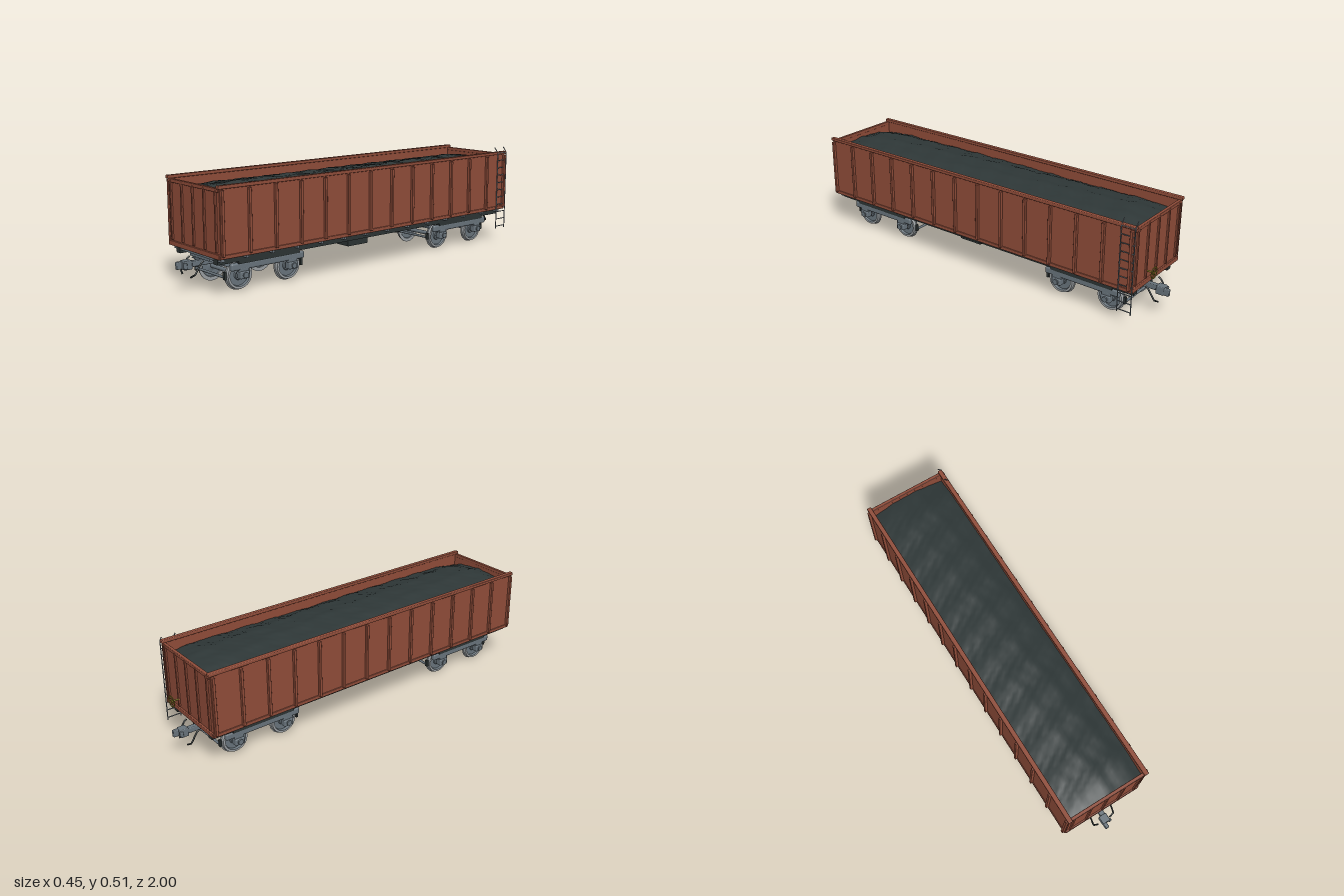
import * as THREE from 'three';
import { RoundedBoxGeometry } from 'three/addons/geometries/RoundedBoxGeometry.js';

const mat = (name, hex, extra = {}) => {
  const m = new THREE.MeshStandardMaterial({ color: hex, ...extra });
  m.name = name;
  return m;
};

export function createModel() {
  const rust = mat('rust red paint', 0x8f4c39);
  const black = mat('black underframe', 0x2c3333);
  const steel = mat('grey steel', 0x68737b);
  const bright = mat('worn wheel steel', 0x9a9fa2);
  const coal = mat('coal', 0x2e3737, { side: THREE.DoubleSide });
  const yellow = mat('yellow brake wheel', 0x8c7d22);

  const wagon = new THREE.Group();
  wagon.name = 'openWagon';
  const SIDES = [-1, 1];

  function add(parent, name, geo, material, x = 0, y = 0, z = 0) {
    const m = new THREE.Mesh(geo, material);
    m.name = name;
    m.position.set(x, y, z);
    parent.add(m);
    return m;
  }
  // box given by centre x, z and bottom / top heights
  const box = (p, name, material, w, d, y0, y1, x, z) =>
    add(p, name, new THREE.BoxGeometry(w, y1 - y0, d), material, x, (y0 + y1) / 2, z);
  const rbox = (p, name, material, w, d, y0, y1, x, z, r = 0.004) =>
    add(p, name, new RoundedBoxGeometry(w, y1 - y0, d, 2, r), material, x, (y0 + y1) / 2, z);
  function rod(p, name, material, r, pts) {
    const path = new THREE.CurvePath();
    const v = pts.map(a => new THREE.Vector3(...a));
    for (let i = 1; i < v.length; i++) path.add(new THREE.LineCurve3(v[i - 1], v[i]));
    return add(p, name, new THREE.TubeGeometry(path, (v.length - 1) * 6, r, 8), material);
  }
  const cyl = (p, name, material, r, len, axis, x, y, z) => {
    const g = new THREE.CylinderGeometry(r, r, len, 24);
    if (axis === 'x') g.rotateZ(Math.PI / 2);
    if (axis === 'z') g.rotateX(Math.PI / 2);
    return add(p, name, g, material, x, y, z);
  };

  // ---- body walls, ribs and rails ----
  const body = new THREE.Group();
  body.name = 'body';
  wagon.add(body);
  const ribZ = Array.from({ length: 14 }, (_, i) => -0.905 + i * 1.81 / 13);
  for (const s of SIDES) {
    box(body, 'sideWall', rust, 0.008, 1.83, 0.18, 0.48, s * 0.205, 0);
    rbox(body, 'sideTopRail', rust, 0.022, 1.845, 0.476, 0.492, s * 0.205, 0);
    rbox(body, 'sideBottomRail', rust, 0.01, 1.835, 0.176, 0.194, s * 0.208, 0, 0.003);
    for (const z of ribZ) rbox(body, 'sideRib', rust, 0.016, 0.014, 0.187, 0.472, s * 0.215, z, 0.003);

    box(body, 'endWall', rust, 0.41, 0.008, 0.18, 0.476, 0, s * 0.909);
    rbox(body, 'endTopRail', rust, 0.41, 0.016, 0.462, 0.479, 0, s * 0.911, 0.003);
    rbox(body, 'endBottomBeam', rust, 0.414, 0.016, 0.174, 0.197, 0, s * 0.913, 0.003);
    for (let i = -2; i <= 2; i++)
      rbox(body, 'endRib', rust, 0.012, 0.012, 0.202, 0.472, i * 0.09, s * 0.915, 0.003);
  }

  // ---- heaped load ----
  const load = new THREE.PlaneGeometry(0.402, 1.812, 24, 110).rotateX(-Math.PI / 2);
  const p = load.attributes.position;
  for (let i = 0; i < p.count; i++) {
    const x = p.getX(i), z = p.getZ(i);
    const u = Math.abs(x) / 0.201, w = Math.min(1, (0.906 - Math.abs(z)) / 0.16);
    const heap = (1 - u * u) * 0.032 + Math.sin(w * Math.PI / 2) * 0.018;
    const bumps = 0.0035 * Math.sin(31 * x + 17 * z) * Math.cos(23 * z - 19 * x)
      + 0.002 * Math.sin(90 * x + 3 * Math.sin(40 * z)) * Math.sin(67 * z);
    p.setY(i, 0.414 + heap + bumps);
  }
  load.computeVertexNormals();
  add(body, 'coalLoad', load, coal);

  // ---- underframe ----
  const frame = new THREE.Group();
  frame.name = 'underframe';
  wagon.add(frame);
  box(frame, 'floor', black, 0.404, 1.815, 0.174, 0.184, 0, 0);
  box(frame, 'centreSill', steel, 0.16, 1.78, 0.142, 0.176, 0, 0);
  for (const s of SIDES) {
    box(frame, 'sideSill', black, 0.03, 1.81, 0.143, 0.176, s * 0.152, 0);
    box(frame, 'endBeam', steel, 0.38, 0.02, 0.159, 0.175, 0, s * 0.893);
  }
  for (const z of ribZ.slice(1, -1)) box(frame, 'crossBeam', steel, 0.38, 0.012, 0.16, 0.175, 0, z);
  box(frame, 'equipmentBox', black, 0.085, 0.125, 0.1, 0.144, 0.068, 0.06);
  cyl(frame, 'airReservoir', steel, 0.024, 0.15, 'z', -0.062, 0.117, -0.075);
  box(frame, 'reservoirBracket', black, 0.02, 0.1, 0.13, 0.144, -0.062, -0.075);
  rod(frame, 'brakePipe', steel, 0.003, [[-0.1, 0.125, 0.87], [-0.1, 0.125, -0.87]]);

  // ---- bogies ----
  const wheelProfile = [[0.012, 0.014], [0.022, 0.014], [0.025, 0.008], [0.05, 0.008], [0.053, 0.02]];
  const treadProfile = [[0.053, 0.02], [0.063, 0.02], [0.065, 0.005], [0.07, 0.003], [0.07, 0], [0.053, 0]];
  const backProfile = [[0.053, 0], [0.05, 0.004], [0.025, 0.004], [0.01, 0]];
  const lathe = prof => {
    // reversed order keeps the surface facing outward
    const pts = prof.slice().reverse().map(a => new THREE.Vector2(...a));
    return new THREE.LatheGeometry(pts, 40).toNonIndexed();
  };
  const wheelParts = [['wheelDisc', lathe(wheelProfile), steel], ['wheelTyre', lathe(treadProfile), bright],
    ['wheelBack', lathe(backProfile), steel]];
  for (const w of wheelParts) w[1].computeVertexNormals();

  function wheelset(parent, z, away) {
    const set = new THREE.Group();
    set.name = 'wheelset';
    set.position.set(0, 0.07, z);
    parent.add(set);
    cyl(set, 'axle', steel, 0.01, 0.3, 'x', 0, 0, 0);
    for (const s of SIDES) {
      const wheel = new THREE.Group();
      wheel.name = 'wheel';
      wheel.position.x = s * 0.103;
      wheel.rotation.z = -s * Math.PI / 2;
      for (const [n, g, m] of wheelParts) add(wheel, n, g, m);
      set.add(wheel);
      rbox(set, 'axleBox', steel, 0.036, 0.05, -0.01, 0.024, s * 0.147, 0, 0.006);
      cyl(set, 'axleBoxCover', steel, 0.013, 0.008, 'x', s * 0.167, 0.007, 0);
      rbox(set, 'axleSpring', steel, 0.024, 0.05, 0.02, 0.04, s * 0.147, 0);
      box(set, 'brakeBlock', black, 0.014, 0.01, -0.012, 0.022, s * 0.115, away * 0.076);
    }
    cyl(set, 'brakeBeam', steel, 0.006, 0.22, 'x', 0, 0, away * 0.078);
  }

  for (const s of SIDES) {
    const bogie = new THREE.Group();
    bogie.name = 'bogie';
    bogie.position.z = s * 0.628;
    wagon.add(bogie);
    for (const a of SIDES) {
      wheelset(bogie, a * 0.133, a);
      rbox(bogie, 'bogieEndBeam', steel, 0.22, 0.02, 0.112, 0.136, 0, a * 0.185);
    }
    for (const x of SIDES) {
      rbox(bogie, 'bogieSideFrame', steel, 0.024, 0.4, 0.1, 0.134, x * 0.147, 0, 0.009);
      box(bogie, 'bogieTopPlate', black, 0.026, 0.33, 0.13, 0.146, x * 0.15, 0);
    }
    rbox(bogie, 'bogieBolster', steel, 0.29, 0.06, 0.1, 0.138, 0, 0);
    cyl(bogie, 'centrePivot', steel, 0.035, 0.02, 'y', 0, 0.14, 0);
  }

  // ---- couplers and air hoses; the rear set is the front set turned round ----
  for (const s of SIDES) {
    const end = new THREE.Group();
    end.name = 'couplerEnd';
    end.rotation.y = s > 0 ? 0 : Math.PI;
    wagon.add(end);
    rbox(end, 'couplerShank', steel, 0.026, 0.14, 0.112, 0.138, 0, 0.89);
    rbox(end, 'couplerHead', steel, 0.04, 0.04, 0.103, 0.144, -0.004, 0.955);
    rbox(end, 'couplerJaw', steel, 0.018, 0.036, 0.106, 0.14, -0.014, 0.982);
    rbox(end, 'couplerKnuckle', steel, 0.014, 0.016, 0.108, 0.136, 0.016, 0.972);
    for (const x of SIDES)
      rod(end, 'airHose', black, 0.004, [[x * 0.058, 0.145, 0.905], [x * 0.058, 0.135, 0.918],
        [x * 0.058, 0.088, 0.95], [x * 0.034, 0.074, 0.957]]);
  }

  // ---- ladder at the rear left corner ----
  const ladder = new THREE.Group();
  ladder.name = 'ladder';
  wagon.add(ladder);
  const stileZ = [-0.852, -0.921];
  for (const z of stileZ)
    rod(ladder, 'ladderStile', steel, 0.0025, [[0.214, 0.072, z], [0.216, 0.49, z], [0.194, 0.513, z]]);
  for (let i = 0; i < 11; i++)
    rod(ladder, 'ladderRung', steel, 0.0025, [[0.215, 0.085 + i * 0.04, stileZ[0]], [0.215, 0.085 + i * 0.04, stileZ[1]]]);

  // ---- hand brake wheel on the rear end ----
  const brake = new THREE.Group();
  brake.name = 'handBrake';
  brake.position.set(0.088, 0.24, -0.955);
  wagon.add(brake);
  add(brake, 'brakeWheelRim', new THREE.TorusGeometry(0.026, 0.0025, 8, 32), yellow);
  for (let i = 0; i < 3; i++) {
    const a = i * Math.PI / 3, c = Math.cos(a) * 0.026, d = Math.sin(a) * 0.026;
    rod(brake, 'brakeWheelSpoke', yellow, 0.002, [[-c, -d, 0], [c, d, 0]]);
  }
  cyl(brake, 'brakeWheelShaft', yellow, 0.004, 0.046, 'z', 0, 0, 0.021);

  return wagon;
}
